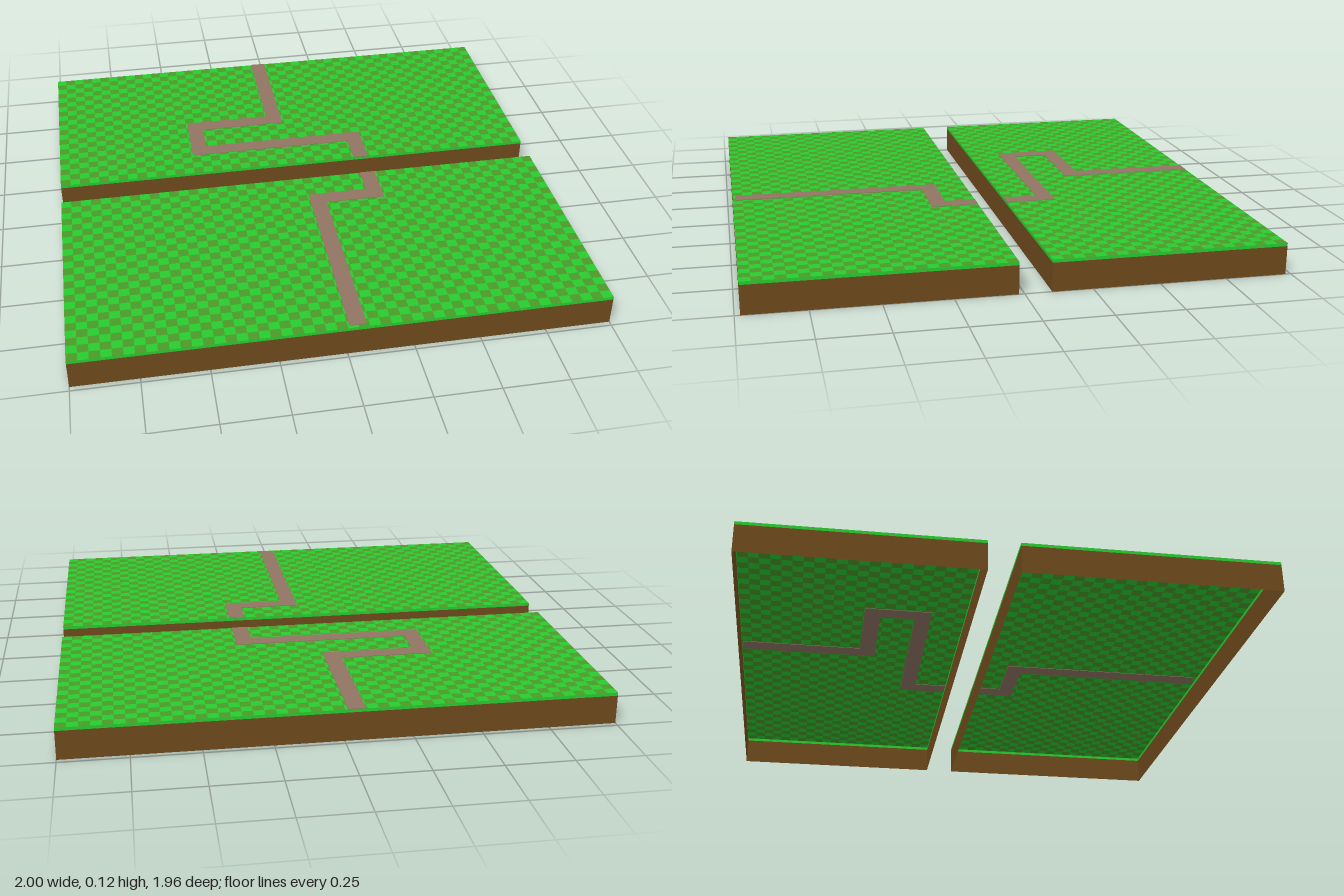
import * as THREE from 'three';
import { mergeGeometries } from 'three/addons/utils/BufferGeometryUtils.js';

const TOP = 0.12, TURF = 0.012, CELL = 0.04, COLS = 50;

const paint = (color) => new THREE.MeshStandardMaterial({ color, side: THREE.DoubleSide });

function addMesh(parent, name, geometry, material) {
  const mesh = new THREE.Mesh(geometry, material);
  mesh.name = name;
  parent.add(mesh);
}

// Four upright sheets around a 2-wide field, open above and below
function wallRing(z0, z1, y0, y1) {
  const h = y1 - y0, y = (y0 + y1) / 2, depth = z1 - z0, mid = (z0 + z1) / 2;
  return mergeGeometries([
    new THREE.PlaneGeometry(2, h).translate(0, y, z1),
    new THREE.PlaneGeometry(2, h).rotateY(Math.PI).translate(0, y, z0),
    new THREE.PlaneGeometry(depth, h).rotateY(Math.PI / 2).translate(1, y, mid),
    new THREE.PlaneGeometry(depth, h).rotateY(-Math.PI / 2).translate(-1, y, mid),
  ]);
}

// Every second square of the lawn
function checks(z0, rows, parity) {
  const cells = [];
  for (let r = 0; r < rows; r++) {
    for (let c = 0; c < COLS; c++) {
      if ((r + c) % 2 !== parity) continue;
      cells.push(new THREE.PlaneGeometry(CELL, CELL).rotateX(-Math.PI / 2)
        .translate(-1 + (c + 0.5) * CELL, TOP, z0 + (r + 0.5) * CELL));
    }
  }
  return mergeGeometries(cells);
}

// Thin slabs that show on both faces of the lawn: [x0, x1, z0, z1]
function pathSlabs(rects) {
  return mergeGeometries(rects.map(([x0, x1, z0, z1]) =>
    new THREE.BoxGeometry(x1 - x0, 0.004, z1 - z0).translate((x0 + x1) / 2, TOP, (z0 + z1) / 2)));
}

export function createModel() {
  const model = new THREE.Group();
  model.name = 'splitField';

  const grass = paint(0x28cc30);
  const darkGrass = paint(0x4b9b29);
  const soil = paint(0x6e4a1c);
  const gravel = paint(0x917564);

  const fields = [
    {
      name: 'backField', z0: -0.98, rows: 22,
      path: [
        [-0.075, -0.01, -0.98, -0.497],
        [-0.433, -0.01, -0.497, -0.433],
        [-0.433, -0.368, -0.433, -0.297],
        [-0.433, 0.312, -0.297, -0.233],
        [0.248, 0.312, -0.233, -0.1],
      ],
    },
    {
      name: 'frontField', z0: 0.02, rows: 24,
      path: [
        [0.248, 0.312, 0.02, 0.143],
        [0.006, 0.312, 0.143, 0.207],
        [0.006, 0.07, 0.207, 0.967],
      ],
    },
  ];

  for (const { name, z0, rows, path } of fields) {
    const field = new THREE.Group();
    field.name = name;
    const z1 = z0 + rows * CELL;
    addMesh(field, 'soilWalls', wallRing(z0, z1, 0, TOP - TURF), soil);
    addMesh(field, 'turfEdge', wallRing(z0, z1, TOP - TURF, TOP), grass);
    addMesh(field, 'lightGrass', checks(z0, rows, 0), grass);
    addMesh(field, 'darkGrass', checks(z0, rows, 1), darkGrass);
    addMesh(field, 'path', pathSlabs(path), gravel);
    model.add(field);
  }
  return model;
}
